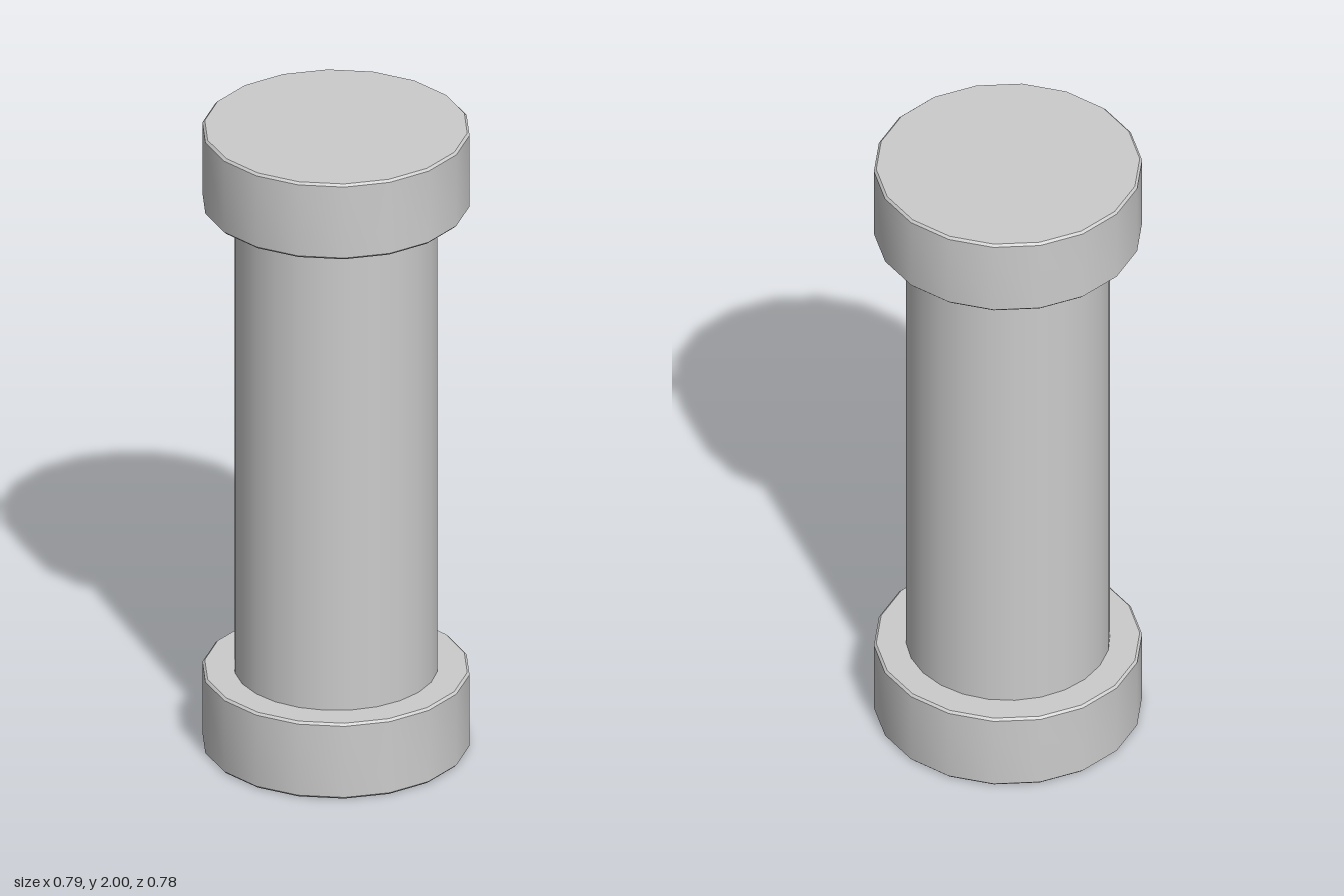
import * as THREE from 'three';
import { toCreasedNormals } from 'three/addons/utils/BufferGeometryUtils.js';

const CAP_RADIUS = 0.394, CAP_HEIGHT = 0.245, BEVEL = 0.007;
const SHAFT_RADIUS = 0.3, HEIGHT = 2;

export function createModel() {
  const model = new THREE.Group();
  model.name = 'column';
  const material = new THREE.MeshStandardMaterial({ color: 0xcccccc });

  // 18-sided disc with finely bevelled rims, shared by base and capital
  const profile = [
    [0, 0],
    [CAP_RADIUS - BEVEL, 0],
    [CAP_RADIUS, BEVEL],
    [CAP_RADIUS, CAP_HEIGHT - BEVEL],
    [CAP_RADIUS - BEVEL, CAP_HEIGHT],
    [0, CAP_HEIGHT],
  ].map(([r, y]) => new THREE.Vector2(r, y));
  const discGeometry = toCreasedNormals(
    new THREE.LatheGeometry(profile, 18, Math.PI / 2), Math.PI / 6);

  for (const [name, y] of [['base', 0], ['capital', HEIGHT - CAP_HEIGHT]]) {
    const disc = new THREE.Mesh(discGeometry, material);
    disc.name = name;
    disc.position.y = y;
    model.add(disc);
  }

  // Smooth round shaft between the two discs
  const shaft = new THREE.Mesh(
    new THREE.CylinderGeometry(SHAFT_RADIUS, SHAFT_RADIUS, HEIGHT - 2 * CAP_HEIGHT, 24, 1, true),
    material);
  shaft.name = 'shaft';
  shaft.position.y = HEIGHT / 2;
  model.add(shaft);

  return model;
}
